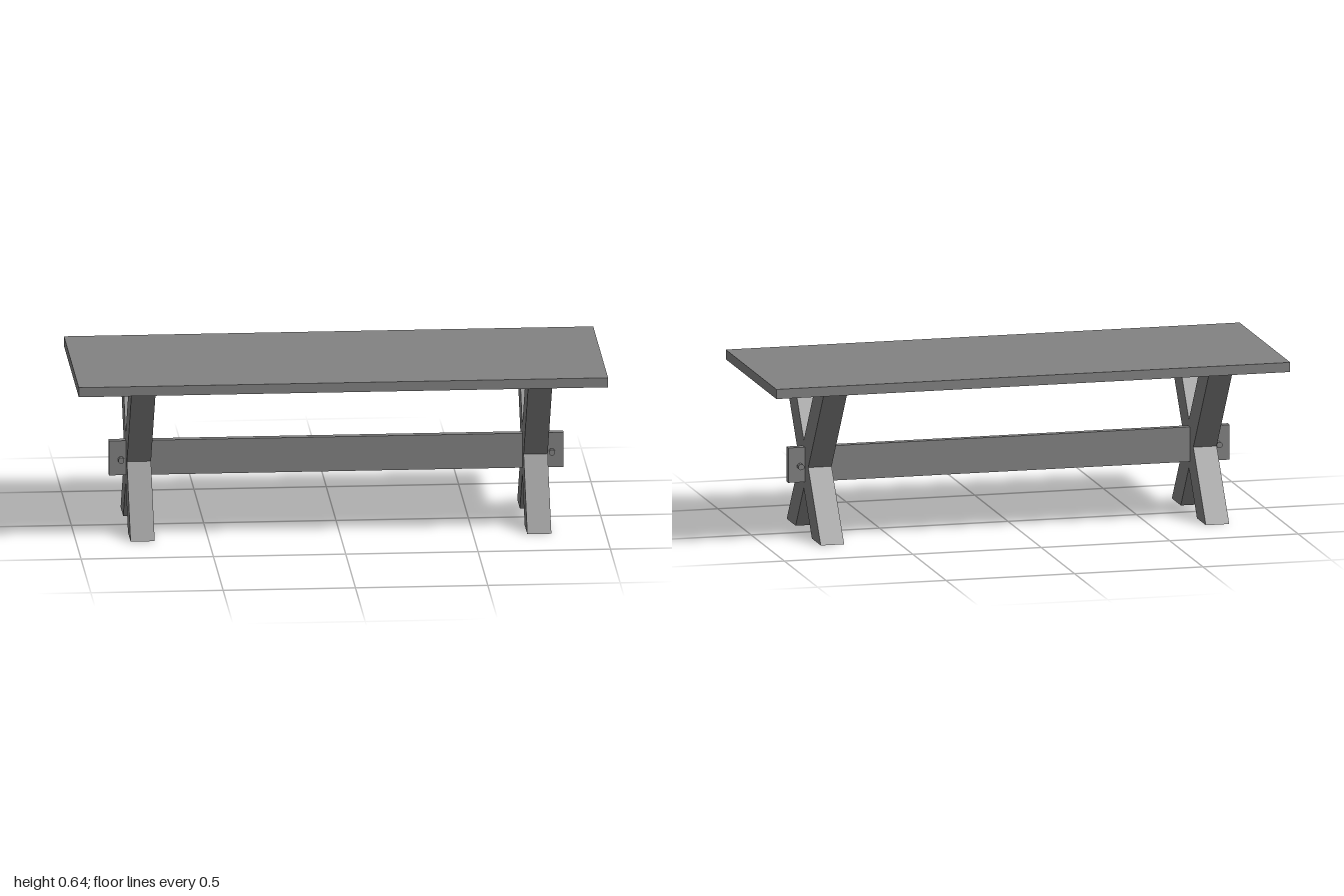
import * as THREE from 'three';

const material = new THREE.MeshStandardMaterial({ color: 0x828282, flatShading: true });

function addPart(parent, name, geometry, x, y, z) {
  const mesh = new THREE.Mesh(geometry, material);
  mesh.name = name;
  mesh.position.set(x, y, z);
  parent.add(mesh);
}

// X-shaped trestle: half outline from lower crotch to upper crotch, then mirrored
function trestleGeometry(width) {
  const half = [[0.122, 0], [0.256, 0], [0.067, 0.262], [0.31, 0.6], [0.176, 0.6]];
  const outline = [
    [0, 0.17], ...half, [0, 0.355],
    ...half.map(([z, y]) => [-z, y]).reverse(),
  ];
  const shape = new THREE.Shape(outline.map(([z, y]) => new THREE.Vector2(z, y)));
  const geometry = new THREE.ExtrudeGeometry(shape, { depth: width, bevelEnabled: false });
  geometry.translate(0, 0, -width / 2);
  geometry.rotateY(Math.PI / 2);
  return geometry;
}

export function createModel() {
  const table = new THREE.Group();
  table.name = 'trestleTable';

  addPart(table, 'tabletop', new THREE.BoxGeometry(2, 0.037, 0.762), 0, 0.618, 0);

  // Stretcher beam passing through both trestles
  addPart(table, 'stretcher', new THREE.BoxGeometry(1.718, 0.134, 0.03), 0, 0.263, 0);

  // Trestle and locking peg at each end; the peg has flats facing up and sideways
  const trestle = trestleGeometry(0.091);
  const peg = new THREE.CylinderGeometry(0.012, 0.012, 0.076, 8)
    .rotateY(Math.PI / 8)
    .rotateX(Math.PI / 2);
  for (const [side, s] of [['left', 1], ['right', -1]]) {
    addPart(table, side + 'Trestle', trestle, s * 0.7495, 0, 0);
    addPart(table, side + 'Peg', peg, s * 0.814, 0.258, 0);
  }
  return table;
}
